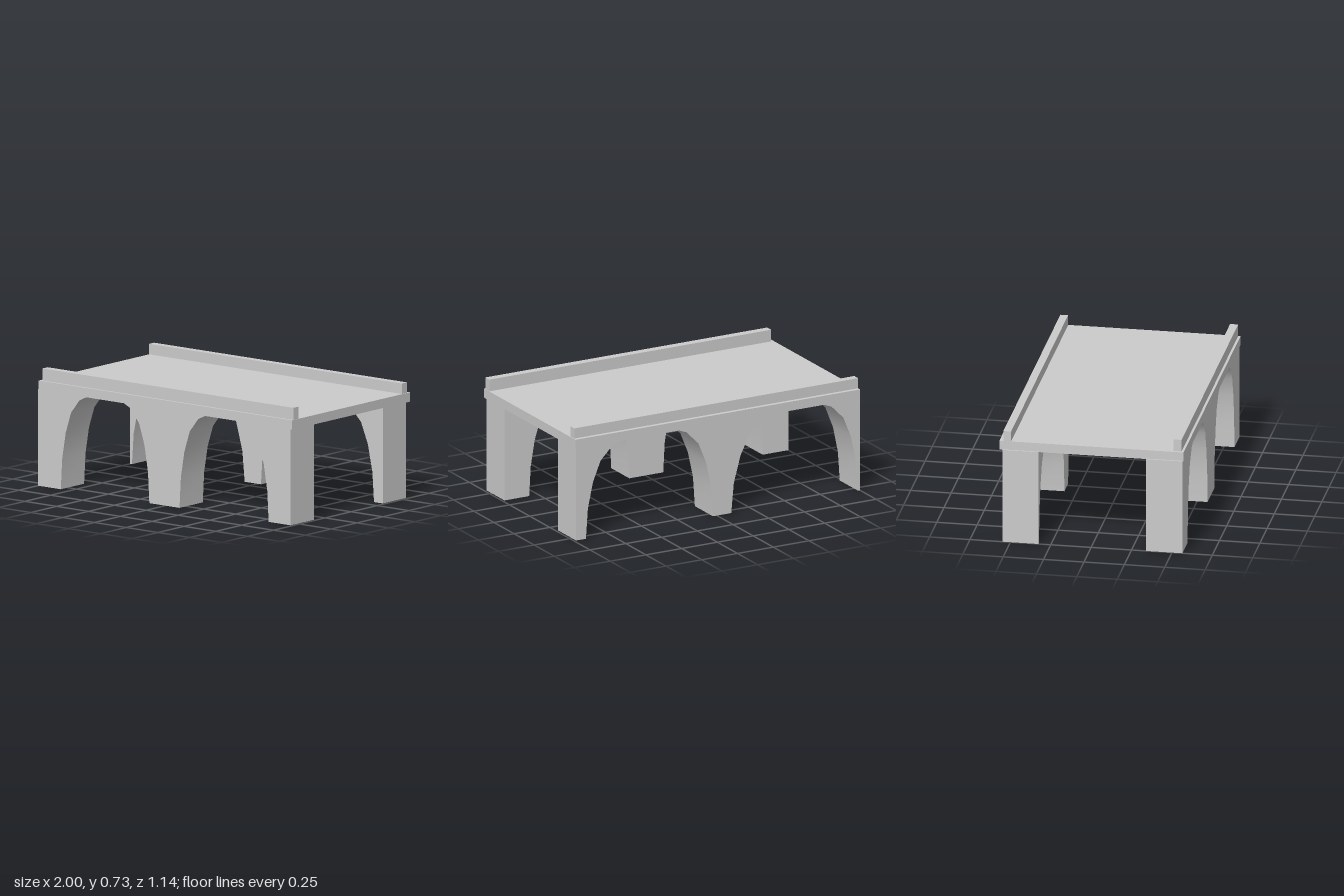
import * as THREE from 'three';
import { toCreasedNormals } from 'three/addons/utils/BufferGeometryUtils.js';

const material = new THREE.MeshStandardMaterial({ color: 0xcccccc });
const TOP = 0.6; // underside of the deck

// One side of an arch, from the foot up: [fraction of half span, height]
const ARCH = [[1, 0], [0.97, 0.19], [0.89, 0.355], [0.77, 0.485], [0.58, 0.57], [0.4, TOP]];

// Points of an arch flank; side is -1 or +1 from the arch centre
const flank = (centre, half, side) => ARCH.map(([t, y]) => [centre + side * half * t, y]);

function slab(name, x0, x1, y0, y1, z0, z1) {
  const mesh = new THREE.Mesh(new THREE.BoxGeometry(x1 - x0, y1 - y0, z1 - z0), material);
  mesh.position.set((x0 + x1) / 2, (y0 + y1) / 2, (z0 + z1) / 2);
  mesh.name = name;
  return mesh;
}

// A pier standing between a left and a right outline, both listed from the foot up
function pier(name, lowX, highX, z0, z1) {
  const outline = [...highX, ...[...lowX].reverse()].map(([x, y]) => new THREE.Vector2(x, y));
  const solid = new THREE.ExtrudeGeometry(new THREE.Shape(outline), { depth: z1 - z0, bevelEnabled: false });
  const mesh = new THREE.Mesh(toCreasedNormals(solid, 0.6), material);
  mesh.position.z = z0;
  mesh.name = name;
  return mesh;
}

// Three piers formed by two arches; innerFlank can replace the first arch's inner side
function pierRow(name, z0, z1, [c1, h1], [c2, h2], innerFlank = flank(c1, h1, 1)) {
  const row = new THREE.Group();
  row.name = name;
  const end = (x) => [[x, 0], [x, TOP]];
  row.add(
    pier('rightPier', end(-1), flank(c1, h1, -1), z0, z1),
    pier('middlePier', innerFlank, flank(c2, h2, -1), z0, z1),
    pier('leftPier', flank(c2, h2, 1), end(0.985), z0, z1),
  );
  return row;
}

export function createModel() {
  const model = new THREE.Group();
  model.name = 'bridge';

  // Deck and parapets
  model.add(slab('deck', -0.99, 1, 0.597, 0.655, -0.57, 0.57));
  model.add(slab('frontParapet', -0.973, 0.998, 0.645, 0.73, 0.505, 0.555));
  model.add(slab('backParapet', -0.99, 0.995, 0.645, 0.72, -0.545, -0.497));

  // Front piers are stout; back piers are slimmer, with one coarser flank
  model.add(pierRow('frontPiers', 0.34, 0.565, [-0.4725, 0.3475], [0.462, 0.35]));
  const coarse = [[-0.1, 0], [-0.118, 0.19], [-0.165, 0.36], [-0.225, 0.48], [-0.37, TOP]];
  model.add(pierRow('backPiers', -0.55, -0.325, [-0.545, 0.44], [0.472, 0.444], coarse));

  return model;
}
